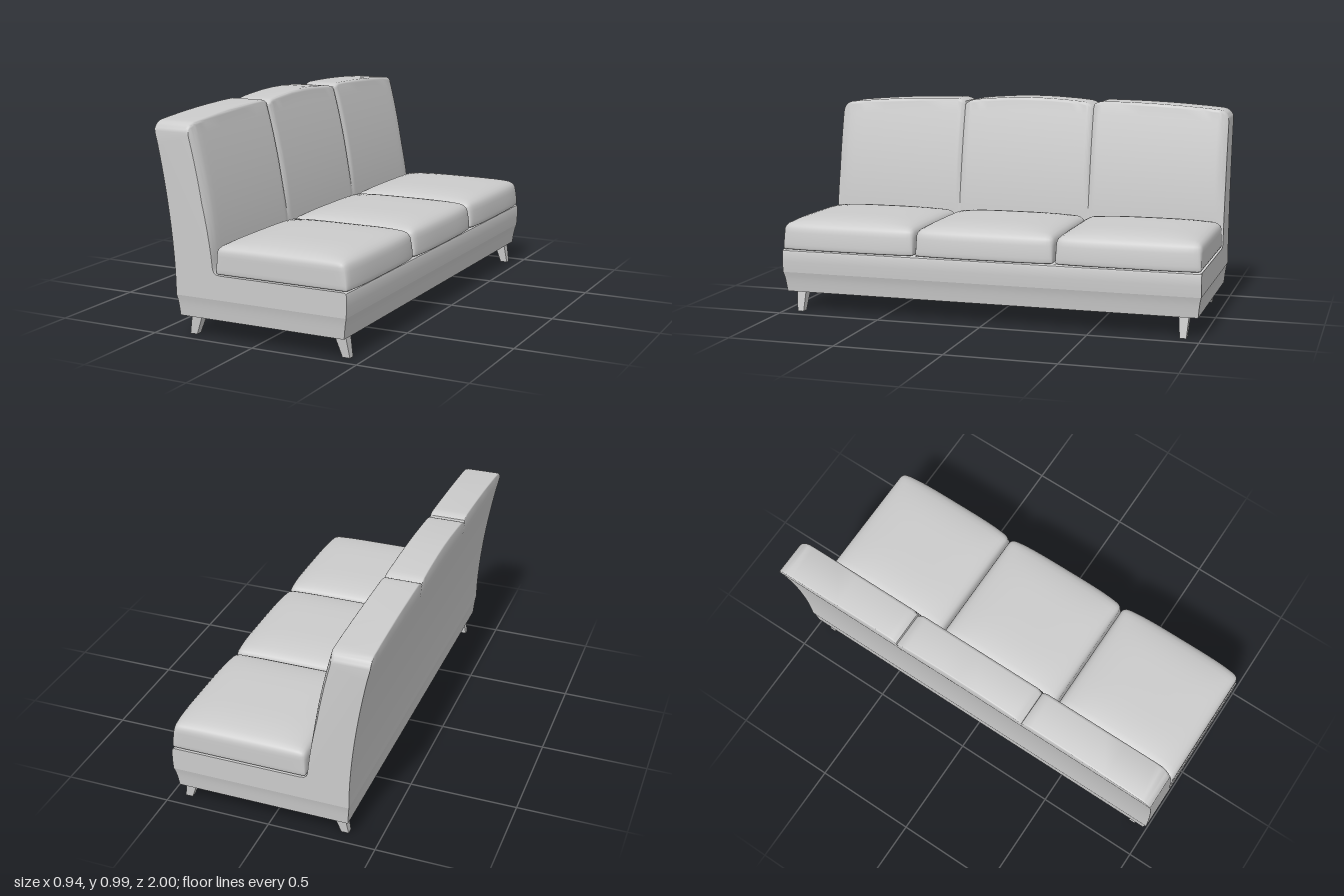
import * as THREE from 'three';
import { mergeVertices, toCreasedNormals } from 'three/addons/utils/BufferGeometryUtils.js';

const material = new THREE.MeshStandardMaterial({ color: 0xcccccc });
const THIRD = 1 / 3;

function addMesh(parent, name, geometry) {
  const mesh = new THREE.Mesh(geometry, material);
  mesh.name = name;
  parent.add(mesh);
  return mesh;
}

// Move every vertex of a geometry by a rule
function reshape(geometry, rule) {
  const p = geometry.attributes.position;
  const v = new THREE.Vector3();
  for (let i = 0; i < p.count; i++) {
    rule(v.fromBufferAttribute(p, i));
    p.setXYZ(i, v.x, v.y, v.z);
  }
  return geometry;
}

// Crest of the backrest: three gentle arches, rounded at the outer ends
function crestHeight(z) {
  const a = Math.abs(z);
  const seam = 0.016 * Math.max(0, 1 - Math.abs(a - THIRD) / 0.05) ** 2;
  if (a <= THIRD) return 0.99 - 0.018 * (a / 0.3) ** 2 - seam;
  const k = Math.max(0, 1 - (1 - a) / 0.05);
  const end = 0.04 * (1 - Math.sqrt(1 - k * k));
  return 0.978 - 0.027 * Math.max(0, (a - 0.38) / 0.57) ** 2 - seam - end;
}

// Cross-section of seat base and backrest at one position along the length
function bodySection(z) {
  const a = Math.abs(z), top = crestHeight(z), r = 0.016;
  const dip = (d, depth, w) => depth * Math.max(0, 1 - d / w) ** 2;
  const inset = Math.max(dip(Math.abs(a - THIRD), 0.012, 0.03), dip(1 - a, 0.02, 0.06));
  const front = y => -0.19 - 0.115 * Math.max(0, (y - 0.31) / 0.68) ** 1.7
    - inset * THREE.MathUtils.clamp((y - 0.31) / 0.3, 0, 1);
  const rear = y => Math.max(-0.472, -0.38 - 0.092 * Math.max(0, (y - 0.22) / 0.7) ** 1.7);
  const pts = [[-0.38, 0.19], [0.453, 0.19], [0.456, 0.24], [0.455, 0.285], [0.452, 0.294],
    [0.443, 0.299], [-0.155, 0.299], [-0.174, 0.302], [-0.185, 0.31]];
  const n = 14, y0 = 0.325, y1 = top - r;
  for (let i = 0; i <= n; i++) {
    const y = y0 + (y1 - y0) * i / n;
    pts.push([front(y), y]);
  }
  for (let i = 1; i <= 4; i++) {
    const t = i / 4 * Math.PI / 2;
    pts.push([front(y1) - r * (1 - Math.cos(t)), y1 + r * Math.sin(t)]);
  }
  for (let i = 0; i <= 3; i++) {
    const t = i / 3 * Math.PI / 2, q = 0.006;
    pts.push([rear(top) + q * (1 - Math.sin(t)), top - q * (1 - Math.cos(t))]);
  }
  for (let i = 1; i <= n; i++) {
    const y = top - 0.012 + (0.22 - top + 0.012) * i / n;
    pts.push([rear(y), y]);
  }
  return pts;
}

function bodyGeometry() {
  const steps = [0, 0.003, 0.008, 0.015, 0.022, 0.03, 0.04, 0.05, 0.08, 0.12];
  const stations = [];
  for (const c of [-2 * THIRD, 0, 2 * THIRD]) {
    stations.push(...steps.map(s => c - THIRD + s), c - 0.1, c, c + 0.1);
    stations.push(...steps.slice(c > 0.1 ? 0 : 1).reverse().map(s => c + THIRD - s));
  }
  const zs = stations.filter((z, i) => i === 0 || z - stations[i - 1] > 1e-6);
  const sections = zs.map(bodySection);
  const n = sections[0].length, pos = [], idx = [];
  sections.forEach((s, i) => s.forEach(([x, y]) => pos.push(x, y, zs[i])));
  for (let i = 0; i < zs.length - 1; i++) {
    for (let j = 0; j < n; j++) {
      const k = (j + 1) % n, a = i * n + j, b = i * n + k;
      idx.push(a, b, b + n, a, b + n, a + n);
    }
  }
  // Flat ends
  const last = (zs.length - 1) * n;
  for (const [section, base] of [[sections[0], 0], [sections[zs.length - 1], last]]) {
    const contour = section.map(([x, y]) => new THREE.Vector2(x, y));
    for (const [a, b, c] of THREE.ShapeUtils.triangulateShape(contour, [])) {
      if (base) idx.push(base + a, base + b, base + c);
      else idx.push(a, c, b);
    }
  }
  const g = new THREE.BufferGeometry();
  g.setAttribute('position', new THREE.Float32BufferAttribute(pos, 3));
  g.setIndex(idx);
  return toCreasedNormals(g, 0.6);
}

// Plump cushion: a box rounded at its edges, domed on top, bulging at the front
function cushionGeometry() {
  const hx = 0.325, hy = 0.0625, hz = 0.329;
  const g = new THREE.BoxGeometry(2, 2, 2, 20, 10, 20);
  reshape(g, v => {
    const s = [v.x, v.y, v.z].map(c => Math.sin(c * Math.PI / 2));
    const r = THREE.MathUtils.lerp(0.012, 0.034, (s[1] + 1) / 2);
    v.set(s[0] * hx, s[1] * hy, s[2] * hz);
    const limit = new THREE.Vector3(hx - r, hy - r, hz - r);
    const inner = v.clone().clamp(limit.clone().negate(), limit);
    const out = v.clone().sub(inner);
    if (out.lengthSq() > 0) v.copy(inner).add(out.setLength(r));
    const u = v.x / hx, w = v.z / hz, t = (v.y + hy) / (2 * hy);
    v.y += 0.03 * t * (1 - u ** 4) * (1 - w ** 4);
    if (u > 0) v.x -= u * u * (0.016 * t * t + 0.016 * w ** 4);
  });
  g.deleteAttribute('normal');
  g.deleteAttribute('uv');
  const smooth = mergeVertices(g, 1e-5);
  smooth.computeVertexNormals();
  return smooth;
}

// Skirt under the seat, drawn in towards the floor
function skirtGeometry() {
  const g = new THREE.BoxGeometry(1, 1, 1, 1, 5, 1);
  reshape(g, v => {
    const t = v.y + 0.5, f = 0.7 * t + 0.3 * t ** 4;
    const x0 = -0.37 - 0.01 * f, x1 = 0.436 + 0.017 * f;
    v.set(v.x < 0 ? x0 : x1, 0.095 + 0.095 * t, Math.sign(v.z) * (0.985 + 0.014 * f));
  });
  return toCreasedNormals(g, 0.6);
}

// Tapered, splayed leg given its x range at top and bottom
function legGeometry(top, bottom) {
  const g = new THREE.BoxGeometry(1, 1, 1);
  reshape(g, v => {
    const up = v.y > 0;
    v.set((up ? top : bottom)[v.x < 0 ? 0 : 1], up ? 0.097 : 0, v.z * (up ? 0.046 : 0.03));
  });
  g.computeVertexNormals();
  return g;
}

export function createModel() {
  const sofa = new THREE.Group();
  sofa.name = 'sofa';
  addMesh(sofa, 'seatBaseAndBackrest', bodyGeometry());
  addMesh(sofa, 'skirt', skirtGeometry());

  const cushion = cushionGeometry();
  ['rightCushion', 'middleCushion', 'leftCushion'].forEach((name, i) => {
    addMesh(sofa, name, cushion).position.set(0.145, 0.3635, (i - 1) * 0.668);
  });

  const frontLeg = legGeometry([0.367, 0.421], [0.402, 0.437]);
  const backLeg = legGeometry([-0.338, -0.284], [-0.355, -0.32]);
  for (const z of [-0.92, 0.92]) {
    addMesh(sofa, 'frontLeg', frontLeg).position.z = z;
    addMesh(sofa, 'backLeg', backLeg).position.z = z;
  }
  return sofa;
}
